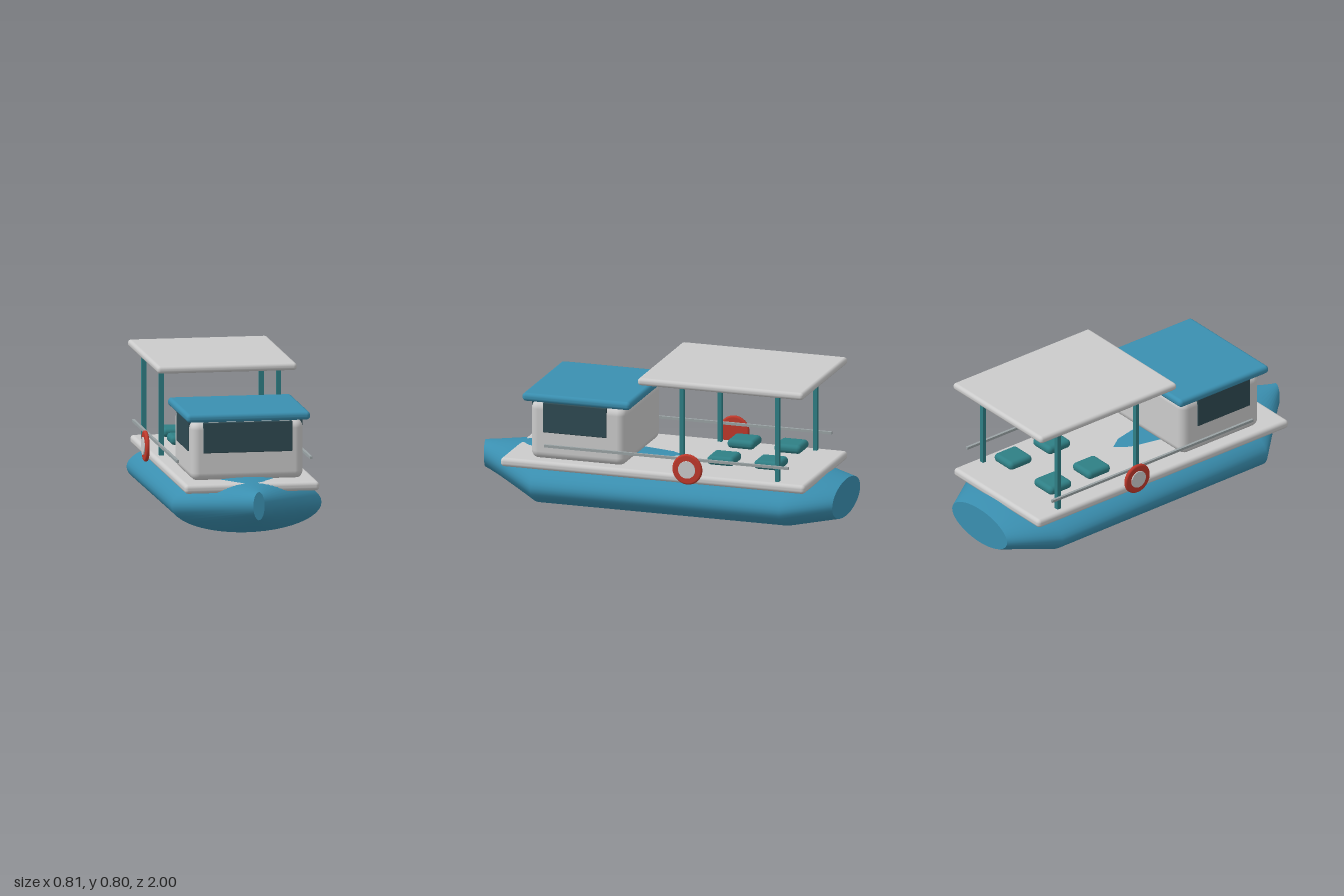
import * as THREE from 'three';
import { RoundedBoxGeometry } from 'three/addons/geometries/RoundedBoxGeometry.js';

const paint = (color) => new THREE.MeshStandardMaterial({ color, roughness: 0.7 });

// Hull lofted through elliptical stations, stern to bow: [z, half width, bottom, top]
function hullGeometry() {
  const stations = [
    [-1, 0.23, 0.04, 0.24],
    [-0.76, 0.4, 0, 0.277],
    [0.62, 0.4, 0, 0.3],
    [1, 0.03, 0.125, 0.275],
  ];
  const n = 48;
  const pos = [];
  const index = [];
  const addRing = ([z, w, lo, hi]) => {
    for (let j = 0; j < n; j++) {
      const t = (j / n) * Math.PI * 2;
      pos.push(w * Math.cos(t), (lo + hi) / 2 + ((hi - lo) / 2) * Math.sin(t), z);
    }
  };
  stations.forEach(addRing);
  for (let i = 0; i < stations.length - 1; i++) {
    for (let j = 0; j < n; j++) {
      const a = i * n + j;
      const b = i * n + ((j + 1) % n);
      index.push(a, b, a + n, b, b + n, a + n);
    }
  }
  // Flat end caps with their own vertices, so their rims stay sharp
  for (const bow of [false, true]) {
    const s = bow ? stations[stations.length - 1] : stations[0];
    const start = pos.length / 3;
    addRing(s);
    pos.push(0, (s[2] + s[3]) / 2, s[0]);
    for (let j = 0; j < n; j++) {
      const a = start + j;
      const b = start + ((j + 1) % n);
      index.push(start + n, bow ? a : b, bow ? b : a);
    }
  }
  const g = new THREE.BufferGeometry();
  g.setAttribute('position', new THREE.Float32BufferAttribute(pos, 3));
  g.setIndex(index);
  g.computeVertexNormals();
  return g;
}

export function createModel() {
  const boat = new THREE.Group();
  boat.name = 'tourBoat';

  const blue = paint(0x3a8fb0);
  const white = paint(0xdedfdb);
  const teal = paint(0x2f7f85);
  const glass = paint(0x2f4a52);
  const red = paint(0xc0392b);
  const metal = paint(0x9aa3a5);

  const add = (name, geometry, material) => {
    const mesh = new THREE.Mesh(geometry, material);
    mesh.name = name;
    boat.add(mesh);
    return mesh;
  };
  // Rounded box given by its [min, max] extent on each axis
  const block = (name, material, [x0, x1], [y0, y1], [z0, z1], radius) =>
    add(name, new RoundedBoxGeometry(x1 - x0, y1 - y0, z1 - z0, 3, radius), material)
      .position.set((x0 + x1) / 2, (y0 + y1) / 2, (z0 + z1) / 2);

  // Hull and deck
  add('hull', hullGeometry(), blue);
  block('deck', white, [-0.36, 0.36], [0.24, 0.288], [-0.89, 0.8], 0.02);

  // Cabin with roof and front window
  block('cabin', white, [-0.3, 0.3], [0.28, 0.6], [0.128, 0.655], 0.045);
  block('cabinRoof', blue, [-0.33, 0.33], [0.6, 0.645], [0.09, 0.69], 0.02);
  block('frontWindow', glass, [-0.237, 0.237], [0.433, 0.595], [0.645, 0.665], 0.004);

  // Canopy over the rear deck
  block('canopy', white, [-0.373, 0.373], [0.757, 0.797], [-0.885, 0.035], 0.018);

  // Life ring profile: a disc with a rounded rim
  const ringProfile = [new THREE.Vector2(0, -0.0105)];
  for (let i = 0; i <= 8; i++) {
    const t = -Math.PI / 2 + (i / 8) * Math.PI;
    ringProfile.push(new THREE.Vector2(0.0725 + 0.0105 * Math.cos(t), 0.0105 * Math.sin(t)));
  }
  ringProfile.push(new THREE.Vector2(0, 0.0105));
  const ringGeometry = new THREE.LatheGeometry(ringProfile, 32);
  const hubGeometry = new THREE.CylinderGeometry(0.047, 0.047, 0.024, 32);

  for (const side of [-1, 1]) {
    const label = side > 0 ? 'left' : 'right';
    const span = (a, b) => (side > 0 ? [a, b] : [-b, -a]);

    block(label + 'Window', glass, span(0.29, 0.306), [0.433, 0.595], [0.228, 0.58], 0.004);

    // Canopy posts
    for (const z of [-0.197, -0.725]) {
      add(label + 'Post', new THREE.BoxGeometry(0.025, 0.49, 0.022), teal)
        .position.set(side * 0.313, 0.525, z);
    }

    // Hand rail
    add(label + 'Rail', new THREE.BoxGeometry(0.014, 0.014, 1.355), metal)
      .position.set(side * 0.356, 0.376, -0.123);

    // Life ring with a pale centre on its outer face
    const ring = add(label + 'LifeRing', ringGeometry, red);
    ring.position.set(side * 0.388, 0.33, -0.25);
    ring.rotation.z = -side * Math.PI / 2;
    const hub = add(label + 'LifeRingCentre', hubGeometry, white);
    hub.position.set(side * 0.392, 0.33, -0.25);
    hub.rotation.z = Math.PI / 2;

    // Seat cushions
    for (const z of [-0.64, -0.38]) {
      block(label + 'Seat', teal, span(0.092, 0.242), [0.319, 0.367], [z - 0.075, z + 0.075], 0.022);
    }
  }

  return boat;
}
